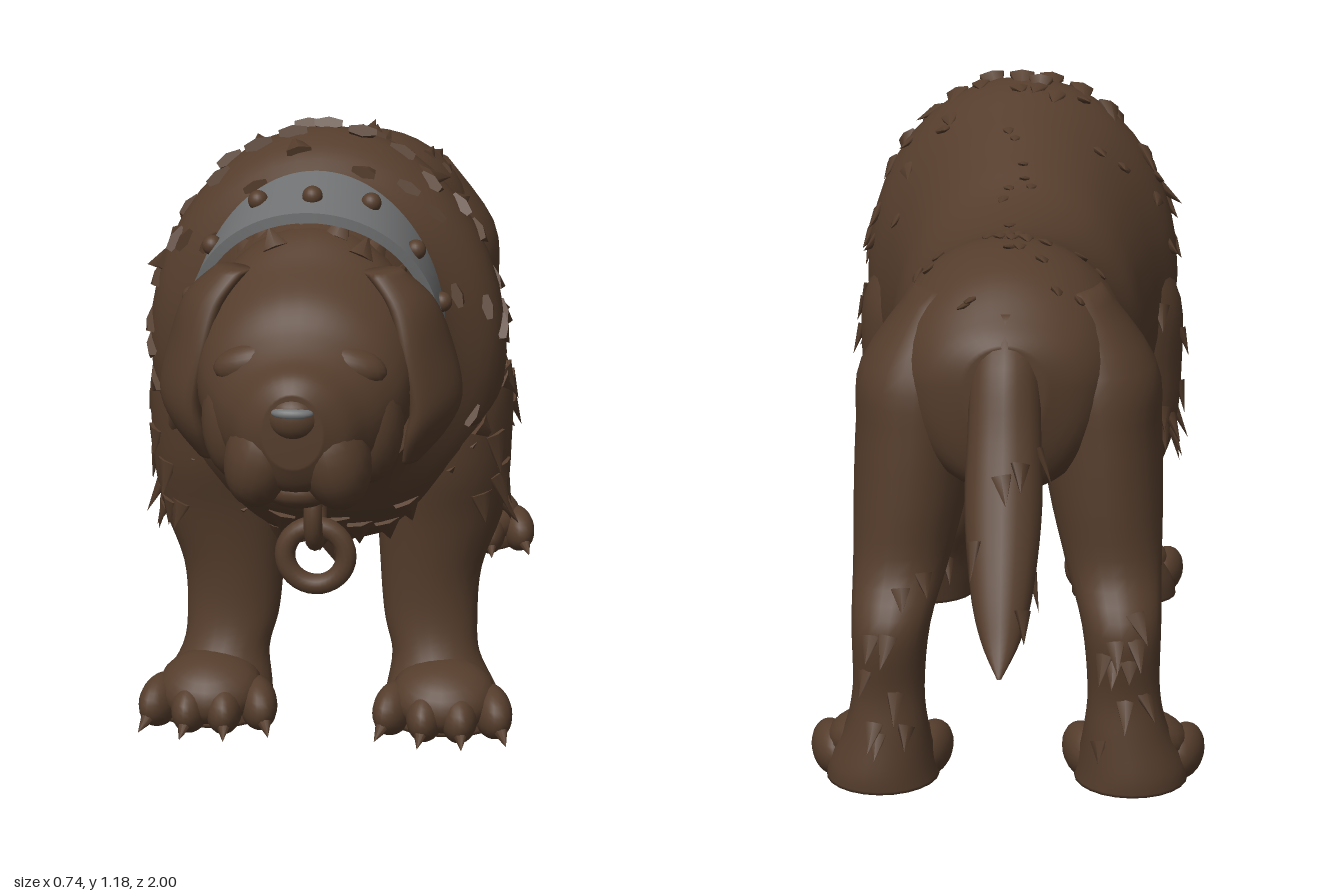
import * as THREE from 'three';
import { mergeGeometries, toCreasedNormals } from 'three/addons/utils/BufferGeometryUtils.js';

const brown = new THREE.MeshStandardMaterial({ name: 'brown fur', color: 0x553d2c, side: THREE.DoubleSide });
const grey = new THREE.MeshStandardMaterial({ name: 'grey steel', color: 0x707172, side: THREE.DoubleSide });
const V = (x, y, z) => new THREE.Vector3(x, y, z);

let seed = 7;
const rand = () => (seed = (seed * 16807) % 2147483647) / 2147483647;
const jitter = (a) => (rand() * 2 - 1) * a;

// Grid of points joined to a surface, closed around each row
function surface(rows, cols, point) {
  const pos = [], index = [];
  for (let i = 0; i < rows; i++)
    for (let j = 0; j < cols; j++) pos.push(...point(i, j).toArray());
  for (let i = 0; i < rows - 1; i++)
    for (let j = 0; j < cols; j++) {
      const k = (j + 1) % cols, a = i * cols, b = a + cols;
      index.push(a + j, b + j, a + k, a + k, b + j, b + k);
    }
  const g = new THREE.BufferGeometry();
  g.setAttribute('position', new THREE.Float32BufferAttribute(pos, 3));
  g.setIndex(index);
  g.computeVertexNormals();
  return g;
}

// Smooth row of a section list at t in 0..1
function sample(list, t) {
  const f = t * (list.length - 1), i = Math.min(Math.floor(f), list.length - 2), u = f - i;
  const at = (k) => list[Math.min(Math.max(k, 0), list.length - 1)];
  return list[0].map((_, c) => {
    const [p, q, r, s] = [at(i - 1)[c], at(i)[c], at(i + 1)[c], at(i + 2)[c]];
    return q + 0.5 * u * (r - p + u * (2 * p - 5 * q + 4 * r - s + u * (3 * (q - r) + s - p)));
  });
}

// Section along z: [z, centre y, half width, up, down]
// Section along y: [y, centre x, centre z, half width, front, back]
function ringPoint(r, a, k = 1) {
  const s = Math.sin(a) * k, c = Math.cos(a) * k;
  if (r.length === 5) return V(r[2] * s, r[1] + (c > 0 ? r[3] : r[4]) * c, r[0]);
  return V(r[1] + r[3] * s, r[0], r[2] + (c > 0 ? r[4] : r[5]) * c);
}
function loft(list, steps = 40, cols = 32) {
  return surface(steps + 3, cols, (i, j) => {
    const t = Math.min(Math.max((i - 1) / steps, 0), 1);
    return ringPoint(sample(list, t), (j / cols) * Math.PI * 2, i === 0 || i === steps + 2 ? 0 : 1);
  });
}

// Flattened pointed lock of hair lying along dir
function tuft(p, dir, normal, len, width) {
  const g = new THREE.ConeGeometry(width, len, 6, 1).toNonIndexed();
  g.translate(0, len * 0.3, 0);
  const y = dir.clone().normalize(), x = V().crossVectors(y, normal).normalize();
  const z = V().crossVectors(x, y);
  g.scale(1, 1, 0.4);
  return g.applyMatrix4(new THREE.Matrix4().makeBasis(x, y, z).setPosition(p));
}
// Locks on a lofted section list
function locks(list, count, t0, t1, a0, a1, flow, len, width, out) {
  const made = [];
  for (let i = 0; i < count; i++) {
    const r = sample(list, t0 + (t1 - t0) * rand()), a = a0 + ((a1 - a0) * (i + rand())) / count;
    const p = ringPoint(r, a), c = r.length === 5 ? V(0, r[1], r[0]) : V(r[1], r[0], r[2]);
    const n = p.clone().sub(c).normalize();
    const d = n.clone().multiplyScalar(out + jitter(0.08)).add(flow).add(V(jitter(0.15), jitter(0.1), 0));
    made.push(tuft(p, d, n, len * (0.75 + rand() * 0.5), width));
  }
  return made;
}

const torso = [
  [-0.71, 0.78, 0.07, 0.07, 0.1], [-0.67, 0.77, 0.15, 0.12, 0.19], [-0.58, 0.76, 0.205, 0.2, 0.2],
  [-0.45, 0.78, 0.225, 0.215, 0.22], [-0.3, 0.76, 0.205, 0.21, 0.23], [-0.15, 0.72, 0.205, 0.235, 0.255],
  [0, 0.69, 0.25, 0.285, 0.29], [0.12, 0.69, 0.265, 0.345, 0.335], [0.25, 0.7, 0.295, 0.405, 0.37],
  [0.38, 0.74, 0.332, 0.425, 0.38], [0.47, 0.78, 0.315, 0.365, 0.35], [0.55, 0.8, 0.23, 0.285, 0.28],
  [0.64, 0.82, 0.19, 0.235, 0.235], [0.72, 0.82, 0.17, 0.2, 0.2]];
const skull = [
  [0.6, 0.84, 0.17, 0.19, 0.23], [0.68, 0.84, 0.19, 0.2, 0.25], [0.76, 0.82, 0.198, 0.175, 0.215],
  [0.83, 0.795, 0.18, 0.16, 0.175], [0.88, 0.775, 0.15, 0.13, 0.15], [0.92, 0.76, 0.12, 0.113, 0.125],
  [0.96, 0.755, 0.09, 0.098, 0.1], [0.985, 0.76, 0.05, 0.066, 0.06]];
const tailRows = [
  [0.9, 0, -0.62, 0.04, 0.04, 0.04], [0.82, 0, -0.67, 0.06, 0.06, 0.065], [0.7, 0, -0.73, 0.065, 0.06, 0.06],
  [0.58, 0, -0.785, 0.068, 0.075, 0.07], [0.46, 0, -0.865, 0.055, 0.06, 0.06],
  [0.39, 0, -0.925, 0.035, 0.04, 0.04], [0.345, 0, -0.995, 0.004, 0.005, 0.004]];
const frontRows = [
  [0.88, 0.2, 0.34, 0.03, 0.05, 0.05], [0.72, 0.222, 0.35, 0.112, 0.13, 0.13], [0.55, 0.225, 0.345, 0.118, 0.13, 0.12],
  [0.42, 0.21, 0.335, 0.12, 0.105, 0.11], [0.3, 0.192, 0.335, 0.098, 0.085, 0.078],
  [0.2, 0.193, 0.345, 0.09, 0.075, 0.078], [0.13, 0.205, 0.365, 0.085, 0.08, 0.075],
  [0.06, 0.22, 0.4, 0.11, 0.1, 0.095], [0.015, 0.225, 0.41, 0.115, 0.1, 0.095]];
const backRows = [
  [0.92, 0.12, -0.5, 0.05, 0.09, 0.08], [0.78, 0.158, -0.5, 0.112, 0.19, 0.155], [0.66, 0.17, -0.5, 0.112, 0.2, 0.17],
  [0.54, 0.18, -0.53, 0.105, 0.165, 0.145], [0.42, 0.195, -0.585, 0.088, 0.125, 0.095],
  [0.32, 0.21, -0.65, 0.072, 0.07, 0.08], [0.2, 0.215, -0.655, 0.066, 0.055, 0.058],
  [0.12, 0.22, -0.645, 0.078, 0.07, 0.075], [0.05, 0.23, -0.62, 0.1, 0.1, 0.11], [0.015, 0.23, -0.62, 0.105, 0.1, 0.11]];
const earRows = [
  [0.985, 0.13, 0.745, 0.03, 0.03, 0.03], [0.93, 0.18, 0.745, 0.032, 0.055, 0.05], [0.85, 0.208, 0.745, 0.03, 0.075, 0.068],
  [0.76, 0.226, 0.745, 0.032, 0.077, 0.068], [0.7, 0.212, 0.75, 0.028, 0.06, 0.055], [0.645, 0.185, 0.755, 0.012, 0.02, 0.02]];

export function createModel() {
  const model = new THREE.Group();
  const add = (name, geo, mat = brown) => {
    const m = new THREE.Mesh(geo, mat);
    m.name = name;
    model.add(m);
    return m;
  };
  const blob = (name, x, y, z, sx, sy, sz, mat) => {
    const m = add(name, new THREE.SphereGeometry(1, 20, 14), mat);
    m.position.set(x, y, z);
    m.scale.set(sx, sy, sz);
    return m;
  };

  add('torso', loft(torso, 64, 40));
  add('head', loft(skull));
  add('tail', loft(tailRows, 30, 16));

  // Muzzle and nose
  blob('chin', 0, 0.64, 0.89, 0.065, 0.037, 0.06);
  blob('nose', 0, 0.785, 0.965, 0.046, 0.04, 0.035);
  blob('noseShine', 0, 0.797, 0.983, 0.036, 0.012, 0.018, grey);

  for (const s of [1, -1]) {
    const side = s > 0 ? 'left' : 'right';
    const mirrored = (rows) => rows.map(([y, x, ...rest]) => [y, x * s, ...rest]);
    // Face
    blob(side + 'Jowl', s * 0.06, 0.7, 0.905, 0.064, 0.095, 0.08).rotation.z = s * 0.25;
    blob(side + 'Brow', s * 0.08, 0.85, 0.865, 0.07, 0.035, 0.038).rotation.z = s * -0.25;
    blob(side + 'Eye', s * 0.082, 0.812, 0.887, 0.03, 0.02, 0.025);
    blob(side + 'Cheek', s * 0.115, 0.74, 0.83, 0.06, 0.11, 0.07);
    // Flap ears, turned outwards at the back
    const flare = new THREE.Matrix4().makeShear(0, 0, 0, 0, s * -0.4, 0);
    add(side + 'Ear', loft(mirrored(earRows), 24, 20).translate(0, 0, -0.745).applyMatrix4(flare).translate(0, 0, 0.745));

    // Legs with paws
    for (const [end, rows, fx, fz] of [['Front', frontRows, 0.225, 0.5], ['Back', backRows, 0.235, -0.55]]) {
      const limb = mirrored(rows);
      add(side + end + 'Leg', loft(limb, 36, 24));
      blob(side + end + 'Instep', s * fx, 0.078, fz - 0.05, 0.1, 0.062, 0.09).rotation.x = 0.3;
      for (let i = 0; i < 4; i++) {
        const o = (i - 1.5) * 0.062, z = fz - Math.abs(i - 1.5) * 0.025, x = s * fx + o;
        blob(side + end + 'Toe', x, 0.052, z, 0.037, 0.05, 0.07).rotation.y = o * 3;
        const claw = add(side + end + 'Claw', new THREE.ConeGeometry(0.018, 0.06, 8));
        claw.position.set(x + o * 0.25, 0.03, z + 0.068);
        claw.rotation.set(1.9, 0, -o * 3);
      }
      // Feathering behind the leg
      add(side + end + 'LegHair', mergeGeometries(
        locks(limb, 9, 0.45, 0.8, Math.PI - 0.7, Math.PI + 0.7, V(s * 0.1, -0.8, -0.2), 0.055, 0.02, 0.3)));
    }
    add(side + 'ShoulderHair', mergeGeometries(
      locks(mirrored(frontRows), 14, 0.12, 0.4, s * 0.6, s * 2.6, V(s * 0.05, -0.8, -0.2), 0.07, 0.026, 0.2)));
  }

  // Shaggy mane, back crest, rump and tail hair
  const T = Math.PI * 2;
  add('mane', mergeGeometries([
    ...locks(torso, 40, 0.68, 0.77, 0, T, V(0, -0.4, -0.4), 0.07, 0.03, 0.25),
    ...locks(torso, 16, 0.6, 0.7, -1.4, 1.4, V(0, -0.2, -0.8), 0.065, 0.022, 0.18),
    ...locks(torso, 12, 0.77, 0.83, -2, 2, V(0, -0.2, -0.7), 0.06, 0.026, 0.25),
    ...locks(skull, 9, 0.08, 0.2, -1, 1, V(0, 0.1, -0.4), 0.05, 0.026, 0.5)]));
  add('backHair', mergeGeometries([
    ...locks(torso, 12, 0.2, 0.6, -0.12, 0.12, V(0, 0, -1), 0.05, 0.014, 0.12),
    ...locks(torso, 15, 0.1, 0.26, -0.9, 0.9, V(0, -0.1, -1), 0.055, 0.016, 0.2)]));
  add('tailHair', mergeGeometries(locks(tailRows, 12, 0.15, 0.8, 0, T, V(0, -0.8, -0.35), 0.06, 0.02, 0.15)));
  add('chestPoint', tuft(V(0, 0.37, 0.3), V(0, -1, -0.1), V(0, 0, 1), 0.11, 0.09));

  // Collar: steel over the nape, leather below, bowed back and narrower at the sides
  const collarAt = (a, w, lift) => {
    const c = Math.cos(a), flare = lift - w * 0.4 * Math.max(c, 0);
    return V((0.21 + lift) * Math.sin(a), 0.835 + ((c > 0 ? 0.245 : 0.255) + flare) * c,
      0.605 + (c > 0 ? 0.04 : -0.025) * c + w * (0.8 + 0.35 * Math.abs(c)));
  };
  const corners = [[-0.058, 0], [0.058, 0], [0.058, 0.018], [-0.058, 0.018]];
  const band = (a0, a1) => toCreasedNormals(surface(49, 4, (i, j) =>
    collarAt(a0 + ((a1 - a0) * i) / 48, ...corners[j])), 0.7);
  add('collarSteel', band(-1.6, 1.6), grey);
  add('collarLeather', band(1.6, T - 1.6));
  for (let i = 0; i < 14; i++) {
    const p = collarAt((i / 14) * T, i % 2 ? -0.01 : 0.015, 0.02);
    blob('collarStud', p.x, p.y, p.z, 0.018, 0.018, 0.018);
  }

  // Hanging rings
  const upper = add('upperRing', new THREE.TorusGeometry(0.044, 0.017, 12, 32));
  upper.position.set(0, 0.51, 0.635);
  upper.rotation.y = Math.PI / 2;
  upper.scale.y = 1.3;
  const lower = add('lowerRing', new THREE.TorusGeometry(0.056, 0.019, 12, 32));
  lower.position.set(0, 0.42, 0.635);
  return model;
}
